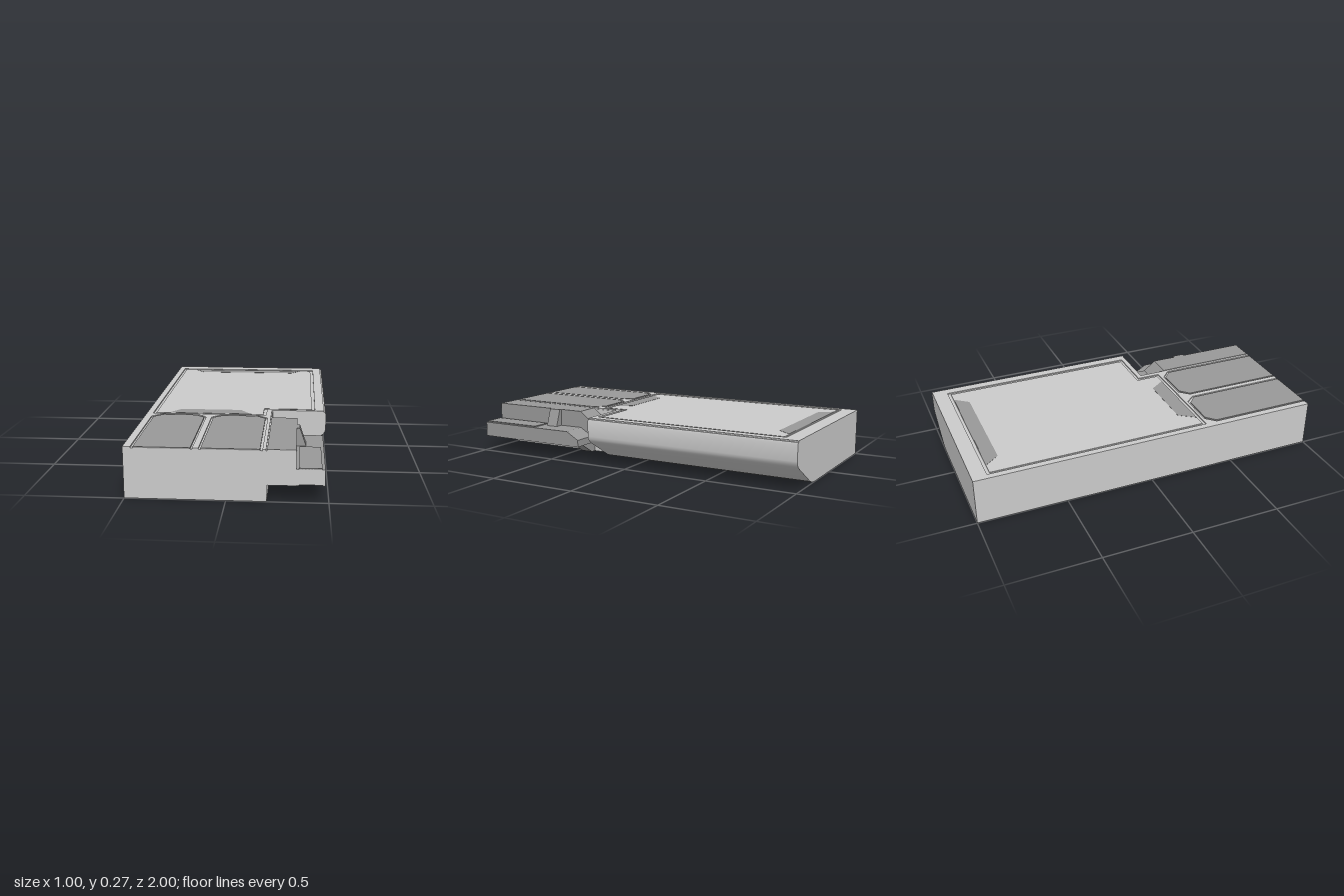
import * as THREE from 'three';
import { toCreasedNormals } from 'three/addons/utils/BufferGeometryUtils.js';

const light = new THREE.MeshStandardMaterial({ color: 0xcccccc });
const dark = new THREE.MeshStandardMaterial({ color: 0x999999 });

const TOP = 0.265; // upper surface
const FLOOR = 0.258; // bottom of the surface grooves

const shapeOf = (pts) => new THREE.Shape(pts.map(([a, b]) => new THREE.Vector2(a, b)));

export function createModel() {
  const model = new THREE.Group();

  const add = (name, geometry, material) => {
    const mesh = new THREE.Mesh(geometry, material);
    mesh.name = name;
    model.add(mesh);
    return mesh;
  };
  const extrude = (shape, depth) => new THREE.ExtrudeGeometry(shape, { depth, bevelEnabled: false });

  // Section in x, y swept along z
  const alongZ = (name, pts, z0, z1, material) =>
    add(name, toCreasedNormals(extrude(shapeOf(pts), z1 - z0).translate(0, 0, z0), 0.6), material);
  // Section in z, y swept along x
  const alongX = (name, pts, x0, x1, material) =>
    add(name, extrude(shapeOf(pts.map(([z, y]) => [-z, y])), x1 - x0).rotateY(Math.PI / 2).translate(x0, 0, 0), material);
  // Plan outline in x, z with height from y0 to y1
  const plate = (name, pts, y0, y1, material, hole) => {
    const shape = shapeOf(pts);
    if (hole) shape.holes.push(shapeOf(hole));
    return add(name, extrude(shape, y1 - y0).rotateX(Math.PI / 2).translate(0, y1, 0), material);
  };
  const block = (name, x0, x1, y0, y1, z0, z1, material) =>
    add(name, new THREE.BoxGeometry(x1 - x0, y1 - y0, z1 - z0)
      .translate((x0 + x1) / 2, (y0 + y1) / 2, (z0 + z1) / 2), material);

  // Rear body with its rounded, undercut left flank
  alongZ('rearBody', [
    [-0.5, 0.001], [0.23, 0.001], [0.265, 0.004], [0.3, 0.016], [0.47, 0.118], [0.488, 0.132],
    [0.497, 0.146], [0.5, 0.162], [0.5, 0.245], [0.496, FLOOR], [-0.5, FLOOR],
  ], -1, 0.24, light);

  // Front body
  block('frontBody', -0.5, 0.2, 0.001, FLOOR, 0.24, 1, light);

  // Flush frame: screen opening plus two panel bays open to the front
  const opening = [
    [-0.465, -0.917], [0.437, -0.917], [0.437, 0.213], [0.167, 0.213], [0.167, 0.347], [-0.465, 0.347],
  ];
  plate('topFrame', [
    [-0.5, -1], [0.488, -1], [0.488, 0.24], [0.195, 0.24], [0.195, 1],
    [0.178, 1], [0.178, 0.415], [0.12, 0.362], [-0.08, 0.362], [-0.13, 0.415], [-0.13, 1],
    [-0.16, 1], [-0.16, 0.415], [-0.205, 0.362], [-0.41, 0.362], [-0.462, 0.415], [-0.462, 1],
    [-0.5, 1],
  ], FLOOR, TOP, light, opening);

  // Main screen panel
  plate('screenPanel', [
    [-0.45, -0.9], [0.42, -0.9], [0.42, 0.197], [0.15, 0.197], [0.15, 0.33], [-0.45, 0.33],
  ], FLOOR, TOP - 0.002, light);

  // Tapered inlays at both ends of the screen
  plate('rearInlay', [[-0.38, -0.898], [0.35, -0.898], [0.29, -0.82], [-0.32, -0.82]],
    FLOOR, TOP - 0.001, dark);
  plate('frontInlay', [[-0.38, 0.328], [0.08, 0.328], [0.02, 0.24], [-0.32, 0.24]],
    FLOOR, TOP - 0.001, dark);

  // Pair of front panels with chamfered rear corners
  for (const [x0, x1] of [[-0.45, -0.17], [-0.12, 0.166]]) {
    plate('frontPanel', [
      [x0, 1], [x0, 0.42], [x0 + 0.05, 0.373], [x1 - 0.05, 0.373], [x1, 0.42], [x1, 1],
    ], FLOOR, TOP, dark);
  }

  // Overhanging shelf with a stepped rear end
  alongX('overhang', [
    [0.24, 0.085], [0.998, 0.085], [0.998, TOP], [0.4, TOP], [0.33, 0.21], [0.24, 0.21],
  ], 0.2, 0.34, dark);
  block('overhangFrontCap', 0.2, 0.34, 0.085, TOP, 0.998, 1, light);

  // Side ledge, its raised strip and the rims beneath it
  alongX('sideLedge', [
    [0.325, 0.091], [0.998, 0.091], [0.998, 0.169], [0.4, 0.169], [0.325, 0.125],
  ], 0.34, 0.48, dark);
  block('ledgeFrontCap', 0.34, 0.48, 0.091, 0.169, 0.998, 1, light);
  block('ledgeStrip', 0.353, 0.465, 0.165, 0.175, 0.64, 1, dark);
  block('ledgeInnerRim', 0.34, 0.355, 0.085, 0.091, 0.325, 1, dark);
  block('ledgeOuterRim', 0.47, 0.48, 0.085, 0.091, 0.325, 1, dark);
  block('ledgeRearRim', 0.355, 0.47, 0.085, 0.091, 0.325, 0.4, dark);

  // Braces above the ledge and below the overhang
  alongZ('upperBrace', [[0.34, 0.165], [0.39, 0.165], [0.355, TOP], [0.34, TOP]], 0.54, 0.61, dark);
  alongZ('lowerBrace', [[0.2, 0.001], [0.23, 0.001], [0.34, 0.067], [0.34, 0.085], [0.2, 0.085]],
    0.4, 0.47, dark);

  // Tapered inlay under the right edge
  plate('undersideInlay', [[-0.5, -0.4], [-0.385, -0.35], [-0.385, 0.34], [-0.5, 0.5]], 0, 0.003, dark);

  return model;
}
